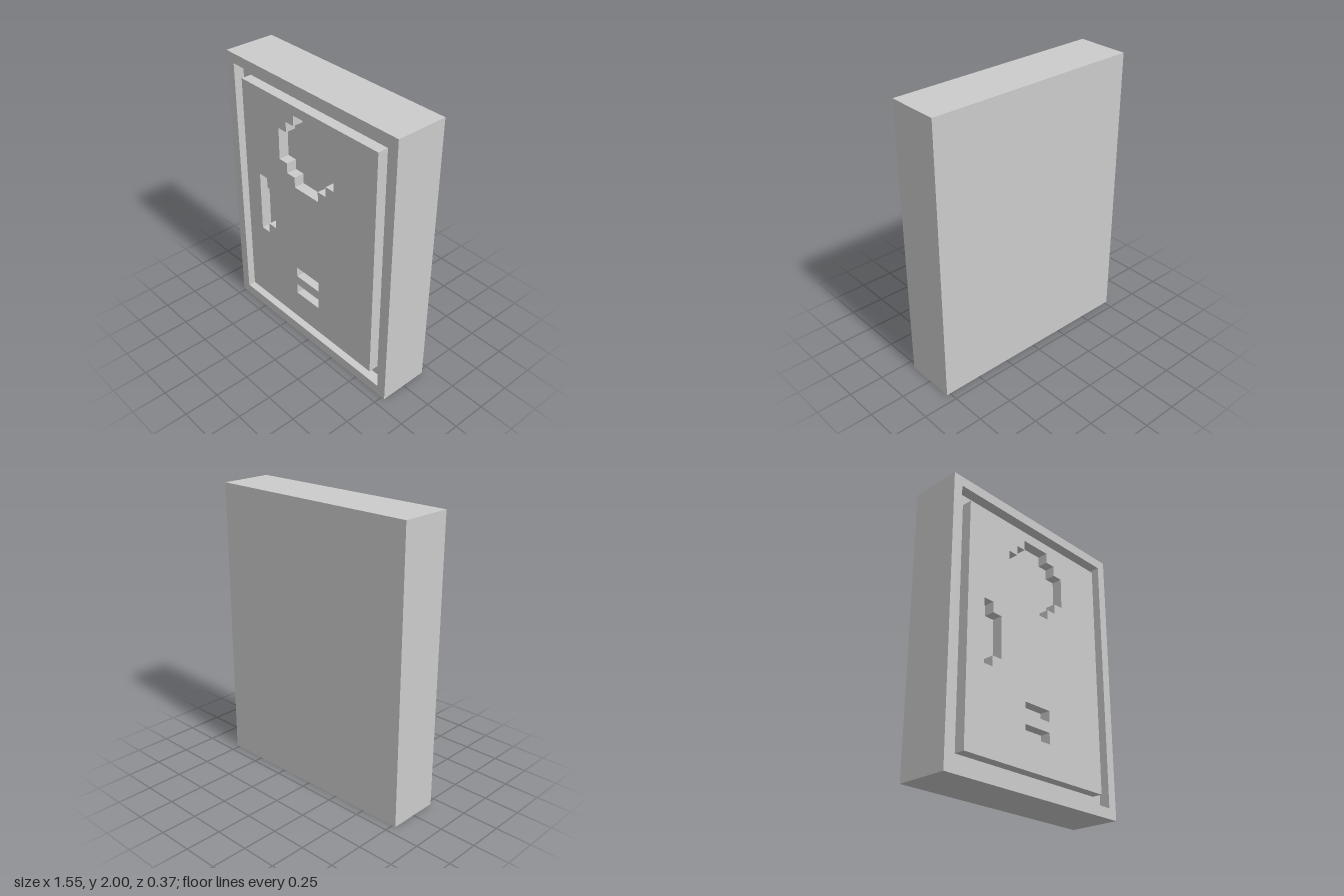
import * as THREE from 'three';

const FRONT = 0.185, DEPTH = 0.075, FLOOR = FRONT - DEPTH;

const rect = (x0, y0, x1, y1) => [[x0, y0], [x1, y0], [x1, y1], [x0, y1]];
const toPoints = (pts) => pts.map(([x, y]) => new THREE.Vector2(x, y));

// Flat plate with cut-outs, standing on the groove floor
function plate(name, outline, holes, material) {
  const shape = new THREE.Shape(toPoints(outline));
  for (const h of holes) shape.holes.push(new THREE.Path(toPoints(h)));
  const geometry = new THREE.ExtrudeGeometry(shape, { depth: DEPTH, bevelEnabled: false });
  const mesh = new THREE.Mesh(geometry, material);
  mesh.name = name;
  mesh.position.z = FLOOR;
  return mesh;
}

export function createModel() {
  const group = new THREE.Group();
  group.name = 'panelDoor';
  const material = new THREE.MeshStandardMaterial({ color: 0xcccccc, flatShading: true });

  // Solid body behind the relief
  const body = new THREE.Mesh(new THREE.BoxGeometry(1.55, 2, FRONT + FLOOR), material);
  body.name = 'body';
  body.position.set(0, 1, (FLOOR - FRONT) / 2);
  group.add(body);

  // Raised border
  group.add(plate('frame', rect(-0.775, 0, 0.775, 2), [rect(-0.706, 0.074, 0.706, 1.93)], material));

  // Stepped round window: one quadrant mirrored into four
  const quadrant = [[0.262, 0.114], [0.187, 0.114], [0.187, 0.188], [0.113, 0.188], [0.113, 0.262]];
  const windowOutline = [];
  [[1, 1], [-1, 1], [-1, -1], [1, -1]].forEach(([sx, sy], i) => {
    const corner = i % 2 ? [...quadrant].reverse() : quadrant;
    windowOutline.push(...corner.map(([x, y]) => [x * sx, 1.525 + y * sy]));
  });

  // Stepped handle recess
  const handle = [
    [-0.486, 0.743], [-0.408, 0.743], [-0.408, 0.817], [-0.333, 0.817],
    [-0.333, 1.118], [-0.408, 1.118], [-0.408, 1.193], [-0.486, 1.193],
  ];

  // Two slots near the bottom
  const slots = [0.372, 0.522].map((y) => rect(-0.113, y, 0.113, y + 0.077));

  group.add(plate('doorPanel', rect(-0.628, 0.151, 0.628, 1.853), [windowOutline, handle, ...slots], material));
  return group;
}
